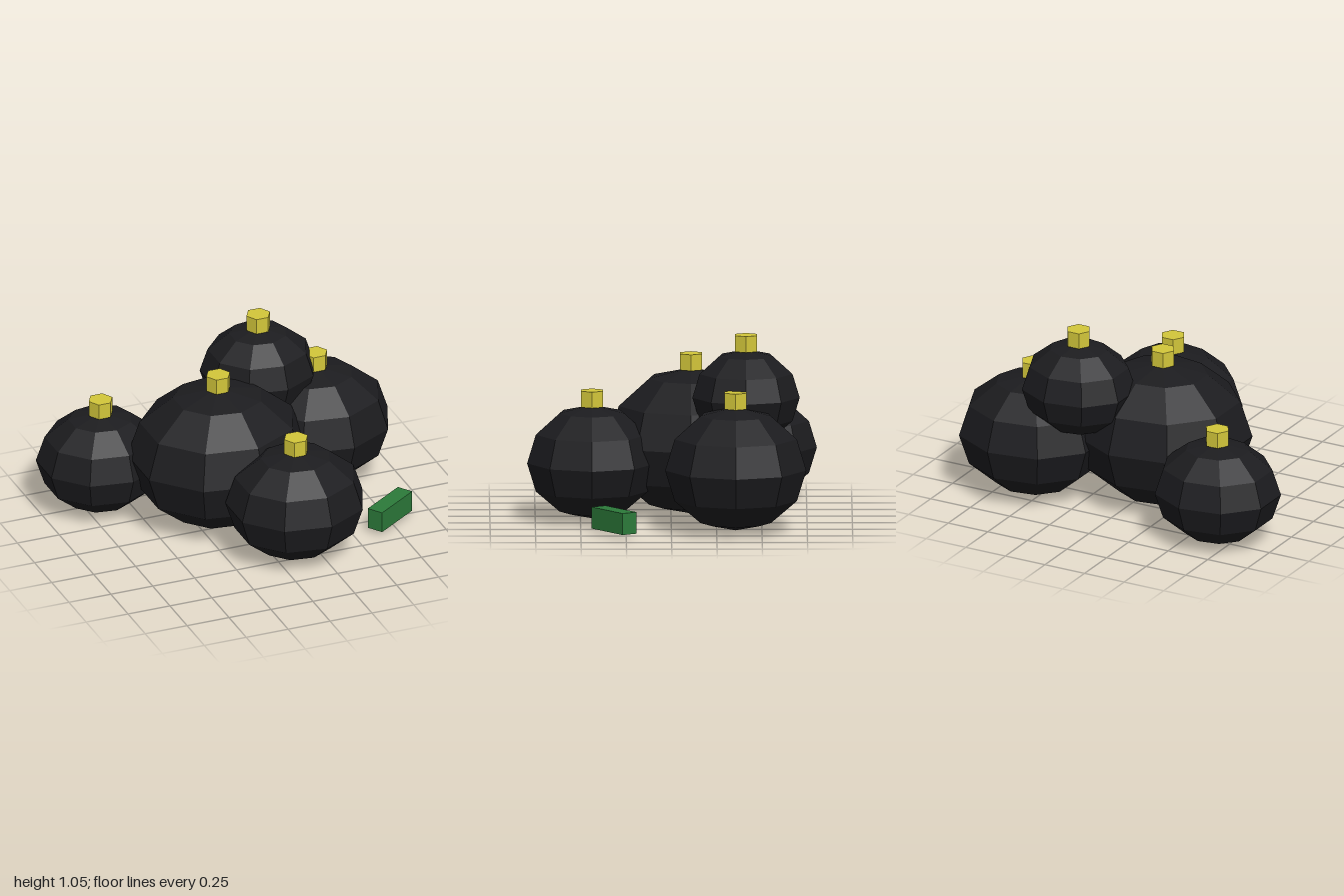
import * as THREE from 'three';

export function createModel() {
  const group = new THREE.Group();
  const mat = (color) => new THREE.MeshStandardMaterial({ color, flatShading: true });
  const bagMat = mat(0x1c1c1f);
  const tieMat = mat(0xd2c63a);
  const boxMat = mat(0x2c7a3a);

  // Squashed nine-sided sack with a hexagonal tied top
  const sackGeo = new THREE.SphereGeometry(1, 9, 6).rotateY(Math.PI);
  const tieGeo = new THREE.CylinderGeometry(0.07, 0.07, 0.09, 6).rotateY(Math.PI / 2);

  function addBag(name, x, y, z, r) {
    const bag = new THREE.Group();
    bag.name = name;
    bag.position.set(x, y, z);

    const sack = new THREE.Mesh(sackGeo, bagMat);
    sack.name = 'sack';
    sack.scale.set(r, r * 0.8, r * 0.92);

    const tie = new THREE.Mesh(tieGeo, tieMat);
    tie.name = 'tie';
    tie.position.y = r * 0.8 + 0.036;

    bag.add(sack, tie);
    group.add(bag);
  }

  // Pile of bags: name, centre, radius
  [
    ['largeBag', -0.11, 0.41, -0.11, 0.508],
    ['leftBag', 0.57, 0.353, -0.355, 0.43],
    ['rightBag', -0.66, 0.3, -0.48, 0.361],
    ['frontBag', 0.13, 0.328, 0.437, 0.395],
    ['topBag', 0.253, 0.71, -0.413, 0.327],
  ].forEach((b) => addBag(...b));

  // Small loose box on the ground
  const box = new THREE.Mesh(new THREE.BoxGeometry(0.302, 0.12, 0.094), boxMat);
  box.name = 'looseBox';
  box.position.set(0.74, 0.09, 0.317);
  box.rotation.y = 0.6;
  group.add(box);

  return group;
}
